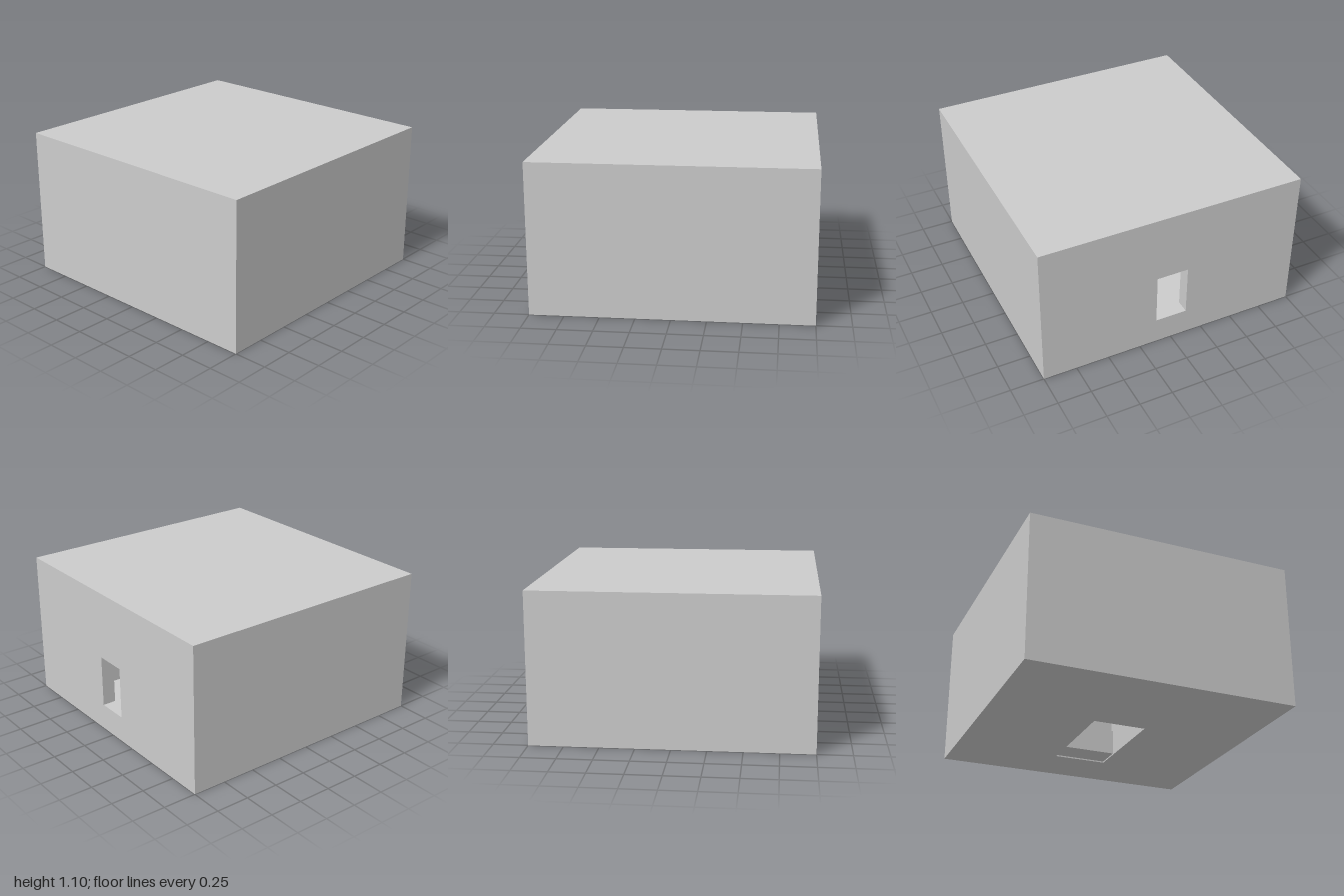
import * as THREE from 'three';
import { mergeGeometries } from 'three/addons/utils/BufferGeometryUtils.js';

const material = new THREE.MeshStandardMaterial({ color: 0xcccccc, flatShading: true });
const axes = [new THREE.Vector3(1, 0, 0), new THREE.Vector3(0, 1, 0), new THREE.Vector3(0, 0, 1)];

// One axis-aligned rectangle facing sign * axis n, spanning u0..u1 and v0..v1
function rect(n, sign, at, [u0, u1], [v0, v1]) {
  const u = (n + 1) % 3, v = (n + 2) % 3;
  const uv = sign > 0 ? [u, v] : [v, u];
  const size = { [u]: u1 - u0, [v]: v1 - v0 };
  const geometry = new THREE.PlaneGeometry(size[uv[0]], size[uv[1]]);
  const center = new THREE.Vector3()
    .setComponent(n, at)
    .setComponent(u, (u0 + u1) / 2)
    .setComponent(v, (v0 + v1) / 2);
  const basis = new THREE.Matrix4().makeBasis(
    axes[uv[0]], axes[uv[1]], axes[n].clone().multiplyScalar(sign));
  return geometry.applyMatrix4(basis.setPosition(center));
}

// Box of panels facing out or in; a side may be 'open' or have a rectangular
// opening, given as the box that passes through it
function panelBox(name, box, inward, openings = {}) {
  const parts = [];
  for (let n = 0; n < 3; n++) {
    for (const side of [-1, 1]) {
      const hole = openings[(side < 0 ? '-' : '+') + 'xyz'[n]];
      if (hole === 'open') continue;
      const [u, v] = [(n + 1) % 3, (n + 2) % 3];
      const [U, V] = [box[u], box[v]];
      const strips = hole
        ? [
            [[U[0], hole[u][0]], V],
            [[hole[u][1], U[1]], V],
            [hole[u], [V[0], hole[v][0]]],
            [hole[u], [hole[v][1], V[1]]],
          ]
        : [[U, V]];
      for (const [a, b] of strips) {
        if (a[1] - a[0] < 1e-6 || b[1] - b[0] < 1e-6) continue;
        parts.push(rect(n, inward ? -side : side, box[n][side < 0 ? 0 : 1], a, b));
      }
    }
  }
  const mesh = new THREE.Mesh(mergeGeometries(parts), material);
  mesh.name = name;
  return mesh;
}

export function createModel() {
  const group = new THREE.Group();
  group.name = 'hollowBlock';

  // Ranges along x, y and z
  const block = [[-1, 1], [0, 1.1], [-1, 1]];
  const room = [[-0.4, 0.4], [0.2, 1.0], [-0.9, 0.2]];
  const doorway = [[-0.12, 0.12], [0.2, 0.59], [-1, -0.9]];
  const recess = [[-0.2, 0.2], [0, 0.01], [-0.6, 0.2]];
  const hatch = [[-0.2, 0.2], [0.01, 0.2], [-0.4, 0.2]];

  group.add(
    // Outer walls, with a slot in the back and a hatch underneath
    panelBox('outerShell', block, false, { '-z': doorway, '-y': recess }),
    // Inner chamber
    panelBox('innerRoom', room, true, { '-z': doorway, '-y': hatch }),
    // Passage through the back wall
    panelBox('backOpening', doorway, true, { '-z': 'open', '+z': 'open' }),
    // Shallow step under the floor and the shaft above it
    panelBox('hatchRecess', recess, true, { '-y': 'open', '+y': hatch }),
    panelBox('floorHatch', hatch, true, { '-y': 'open', '+y': 'open' }),
  );
  return group;
}
